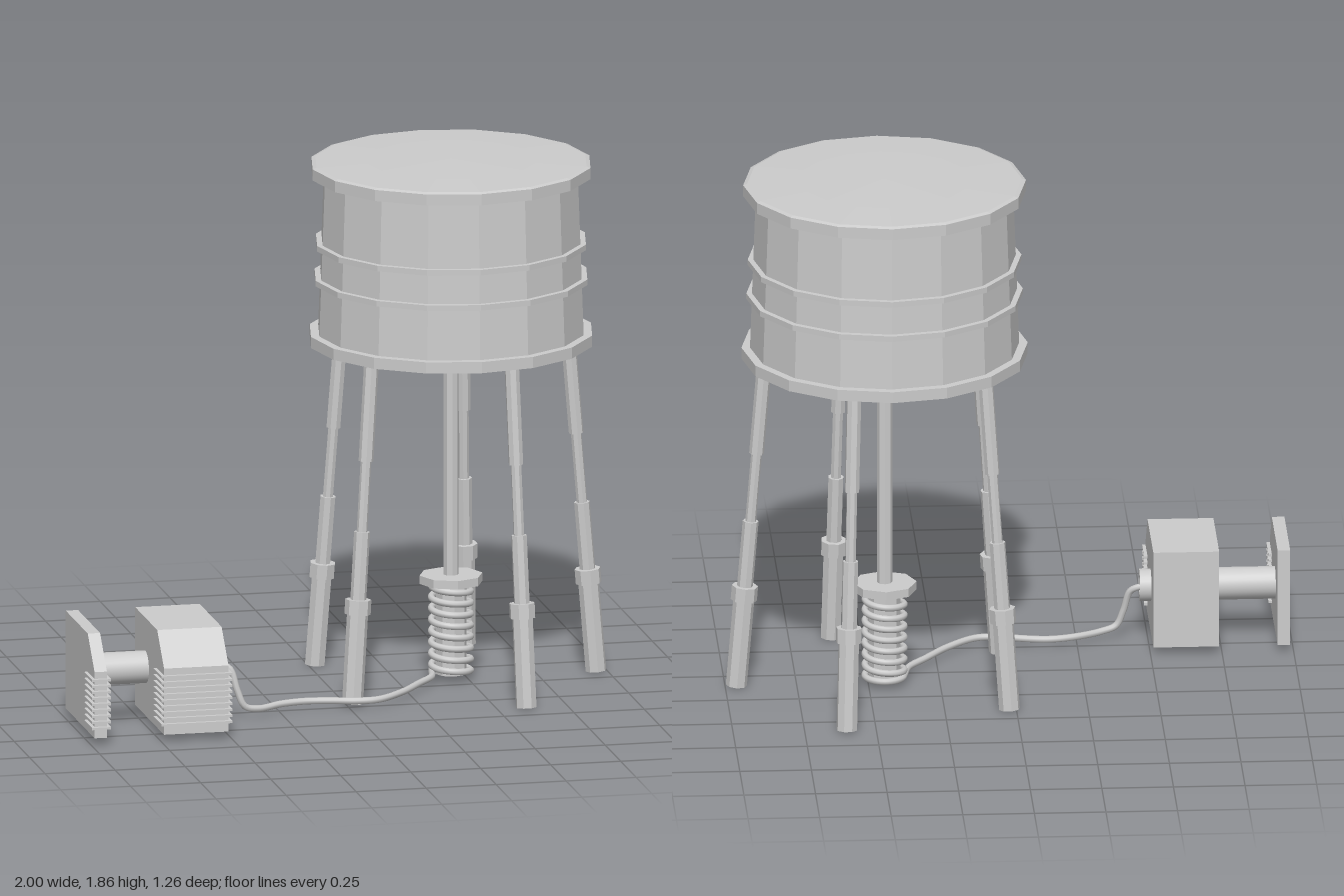
import * as THREE from 'three';
import { toCreasedNormals } from 'three/addons/utils/BufferGeometryUtils.js';

const flat = new THREE.MeshStandardMaterial({ color: 0xcccccc, flatShading: true });
const smooth = new THREE.MeshStandardMaterial({ color: 0xcccccc });
const TX = 0.443, TZ = -0.1; // tower axis

function add(parent, name, geometry, material = flat, x = 0, y = 0, z = 0) {
  const mesh = new THREE.Mesh(geometry, material);
  mesh.name = name;
  mesh.position.set(x, y, z);
  parent.add(mesh);
  return mesh;
}

const lathe = (points, sides) =>
  new THREE.LatheGeometry(points.map(([r, y]) => new THREE.Vector2(r, y)), sides);

// Cylinder standing between two heights
function post(parent, name, r, y0, y1, sides = 8) {
  return add(parent, name, new THREE.CylinderGeometry(r, r, y1 - y0, sides), flat, 0, (y0 + y1) / 2, 0);
}

// Sixteen-sided tank with rims, two hoops and a shallow domed lid
function makeTank() {
  const tank = new THREE.Group();
  tank.name = 'tank';
  add(tank, 'tankBody', lathe([
    [0, 1.21], [0.5, 1.21], [0.5, 1.25], [0.47, 1.25], [0.45, 1.81],
    [0.494, 1.81], [0.494, 1.85], [0.48, 1.855], [0.3, 1.861], [0, 1.865],
  ], 16));
  for (const [y, r] of [[1.44, 0.483], [1.565, 0.478]]) {
    add(tank, 'tankHoop', lathe([
      [r - 0.03, y - 0.01], [r, y - 0.01], [r, y + 0.01], [r - 0.03, y + 0.01],
    ], 16));
  }
  return tank;
}

// Telescoping leg leaning in toward the tank
function makeLeg(angle) {
  const pivot = new THREE.Group();
  pivot.name = 'leg';
  pivot.rotation.y = angle;
  const leg = new THREE.Group();
  leg.position.x = 0.518;
  leg.rotation.z = Math.atan(0.1 / 1.21);
  pivot.add(leg);
  post(leg, 'legFoot', 0.037, 0.004, 0.34);
  post(leg, 'legCollar', 0.046, 0.32, 0.372);
  post(leg, 'legSleeve', 0.028, 0.36, 0.612);
  post(leg, 'legRod', 0.019, 0.6, 0.88);
  post(leg, 'legUpperTube', 0.026, 0.862, 1.22);
  return pivot;
}

// Plate profile with a chamfered top front edge, extruded from x0 to x1, plus cooling fins
function makeFinnedBlock(name, x0, x1) {
  const block = new THREE.Group();
  block.name = name;
  const shape = new THREE.Shape(
    [[0.15, 0.025], [0.615, 0.025], [0.615, 0.262], [0.505, 0.375], [0.15, 0.375]]
      .map(([z, y]) => new THREE.Vector2(z, y)));
  const body = new THREE.ExtrudeGeometry(shape, { depth: x1 - x0, bevelEnabled: false });
  body.rotateY(-Math.PI / 2);
  add(block, name + 'Body', body, flat, x1, 0, 0);
  for (let i = 0; i < 9; i++) {
    add(block, 'coolingFin', new THREE.BoxGeometry(x1 - x0 + 0.024, 0.008, 0.128), flat,
      (x0 + x1) / 2, 0.062 + i * 0.0215, 0.566);
  }
  return block;
}

// Hose from the pump outlet along the ground, winding up around the column
function makeHose() {
  const points = [
    [-0.5, 0.197, 0.312], [-0.465, 0.192, 0.312], [-0.438, 0.175, 0.32], [-0.415, 0.1, 0.332],
    [-0.39, 0.045, 0.335], [-0.34, 0.03, 0.32], [-0.24, 0.03, 0.265], [-0.15, 0.03, 0.245],
    [-0.06, 0.03, 0.258], [0.02, 0.03, 0.28], [0.1, 0.03, 0.275], [0.2, 0.03, 0.19],
    [0.29, 0.03, 0.07], [0.355, 0.03, -0.02],
  ].map((p) => new THREE.Vector3(...p));
  const turns = 8, steps = 12;
  for (let i = 0; i <= turns * steps; i++) {
    const a = -Math.PI / 2 - (i / steps) * Math.PI * 2;
    const rise = Math.max(0, i - steps / 2) / (turns * steps - steps / 2);
    points.push(new THREE.Vector3(
      TX + 0.069 * Math.sin(a), 0.03 + 0.303 * rise, TZ + 0.069 * Math.cos(a)));
  }
  const path = new THREE.CatmullRomCurve3(points);
  path.arcLengthDivisions = 1000;
  return new THREE.TubeGeometry(path, 420, 0.012, 8);
}

export function createModel() {
  const model = new THREE.Group();
  model.name = 'waterTower';

  const tower = new THREE.Group();
  tower.name = 'tower';
  tower.position.set(TX, 0, TZ);
  model.add(tower);
  tower.add(makeTank());
  for (let i = 0; i < 5; i++) tower.add(makeLeg(i * Math.PI * 2 / 5));

  // Central supply column
  post(tower, 'coilCore', 0.056, 0.02, 0.35);
  post(tower, 'columnFlange', 0.112, 0.345, 0.375);
  post(tower, 'supplyPipe', 0.027, 0.37, 1.22);

  // Pump unit: two finned blocks on a shared axle with a recessed outlet
  const pump = new THREE.Group();
  pump.name = 'pump';
  model.add(pump);
  pump.add(makeFinnedBlock('pumpBlock', -0.74, -0.51));
  pump.add(makeFinnedBlock('pumpEndPlate', -0.988, -0.944));
  const axle = lathe([[0, 0], [0.057, 0], [0.057, 0.49], [0.036, 0.49], [0.036, 0.46], [0, 0.46]], 24);
  add(pump, 'pumpAxle', toCreasedNormals(axle, 0.6), smooth, -0.96, 0.2, 0.315).rotation.z = -Math.PI / 2;

  add(model, 'hose', makeHose(), smooth);
  return model;
}
